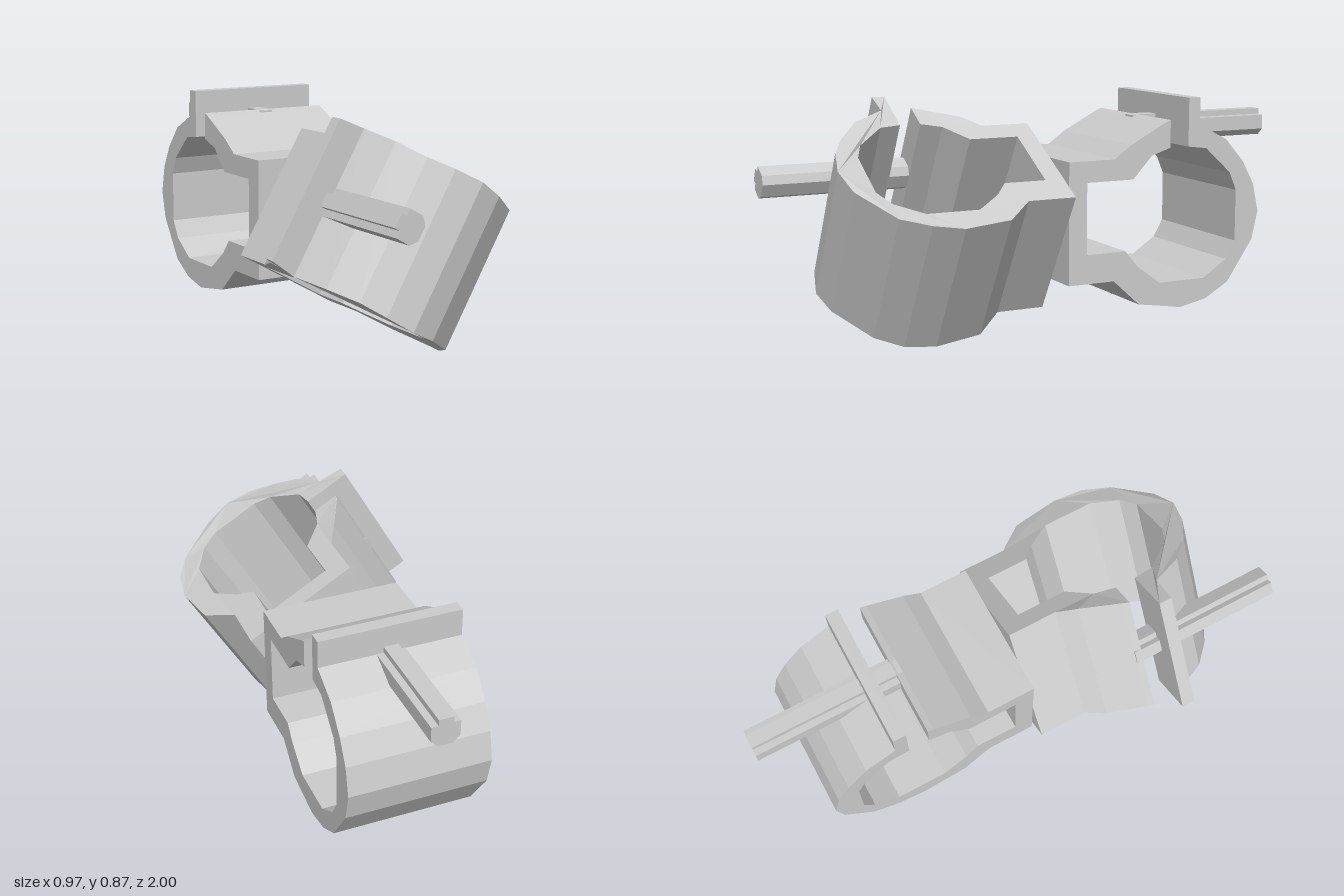
import * as THREE from 'three';

const WIDTH = 0.535;
const MID = 0.42; // height of the swivel axis

// Open clamp section: distance from the swivel face, height
const SECTION = [
  // outside, from the slit down around the ring to the flange
  [0.43, 0.785], [0.405, 0.775], [0.26, 0.70], [0.19, 0.65], [0, 0.65], [0, 0.19], [0.19, 0.19],
  [0.30, 0.09], [0.485, 0.06], [0.60, 0.083], [0.70, 0.14], [0.81, 0.30],
  [0.835, 0.41], [0.81, 0.52], [0.76, 0.61], [0.68, 0.70], [0.56, 0.76],
  [0.56, 0.865], [0.51, 0.865],
  // inside, from the flange back to the slit
  [0.51, 0.68], [0.59, 0.67], [0.70, 0.57], [0.73, 0.50], [0.73, 0.30],
  [0.69, 0.23], [0.59, 0.165], [0.39, 0.165], [0.29, 0.24], [0.24, 0.30],
  [0.075, 0.30], [0.075, 0.57], [0.27, 0.57], [0.35, 0.655], [0.43, 0.68],
];

// Bolt section with the upper corners notched
const BOLT = [
  [-0.0525, -0.028], [-0.027, -0.0525], [0.027, -0.0525], [0.0525, -0.028],
  [0.0525, 0.028], [0.027, 0.03], [0.027, 0.0525], [-0.027, 0.0525],
  [-0.027, 0.03], [-0.0525, 0.03],
];

const material = new THREE.MeshStandardMaterial({ color: 0xcccccc, flatShading: true });

function extrude(points, depth) {
  const shape = new THREE.Shape(points.map(([x, y]) => new THREE.Vector2(x, y)));
  return new THREE.ExtrudeGeometry(shape, { depth, bevelEnabled: false });
}

function addMesh(group, name, geometry) {
  const mesh = new THREE.Mesh(geometry, material);
  mesh.name = name;
  group.add(mesh);
  return mesh;
}

// One clamp, pointing to -z with its bore along x
function makeClamp(name, ripple) {
  const clamp = new THREE.Group();
  clamp.name = name;

  const ring = extrude(SECTION.map(([d, y]) => [d, y - MID]), WIDTH);
  ring.translate(0, 0, -WIDTH / 2);
  // Slightly uneven ends around the ring
  const p = ring.attributes.position;
  for (let i = 0; i < p.count; i++) {
    const d = p.getX(i), y = p.getY(i);
    if (d < 0.2 || y > 0.35) continue;
    const angle = Math.atan2(y, d - 0.48);
    const outer = Math.hypot(y, d - 0.48) > 0.3 ? 1 : 0;
    const bulge = ripple * outer * (0.6 + 0.4 * Math.cos(angle * 5));
    p.setZ(i, p.getZ(i) + Math.sign(p.getZ(i)) * bulge);
  }
  ring.rotateY(Math.PI / 2);
  ring.computeVertexNormals();
  addMesh(clamp, 'clampRing', ring);

  // Clamping bolt and its narrow tip
  const bolt = addMesh(clamp, 'bolt', extrude(BOLT, 0.57));
  bolt.position.set(0, 0.732 - MID, -1);
  const tip = addMesh(clamp, 'boltTip', new THREE.BoxGeometry(0.054, 0.04, 0.04));
  tip.position.set(0, 0.762 - MID, -0.425);
  return clamp;
}

export function createModel() {
  const model = new THREE.Group();
  model.name = 'swivelPipeCoupler';

  const back = makeClamp('backClamp', 0);
  back.position.set(0.0525, MID, 0);

  // Front clamp turned about and swivelled by 60 degrees
  const front = makeClamp('frontClamp', 0.014);
  front.position.set(0.04, 0.413, 0);
  front.rotation.set(0, Math.PI, Math.PI / 3, 'ZYX');

  model.add(back, front);
  return model;
}
